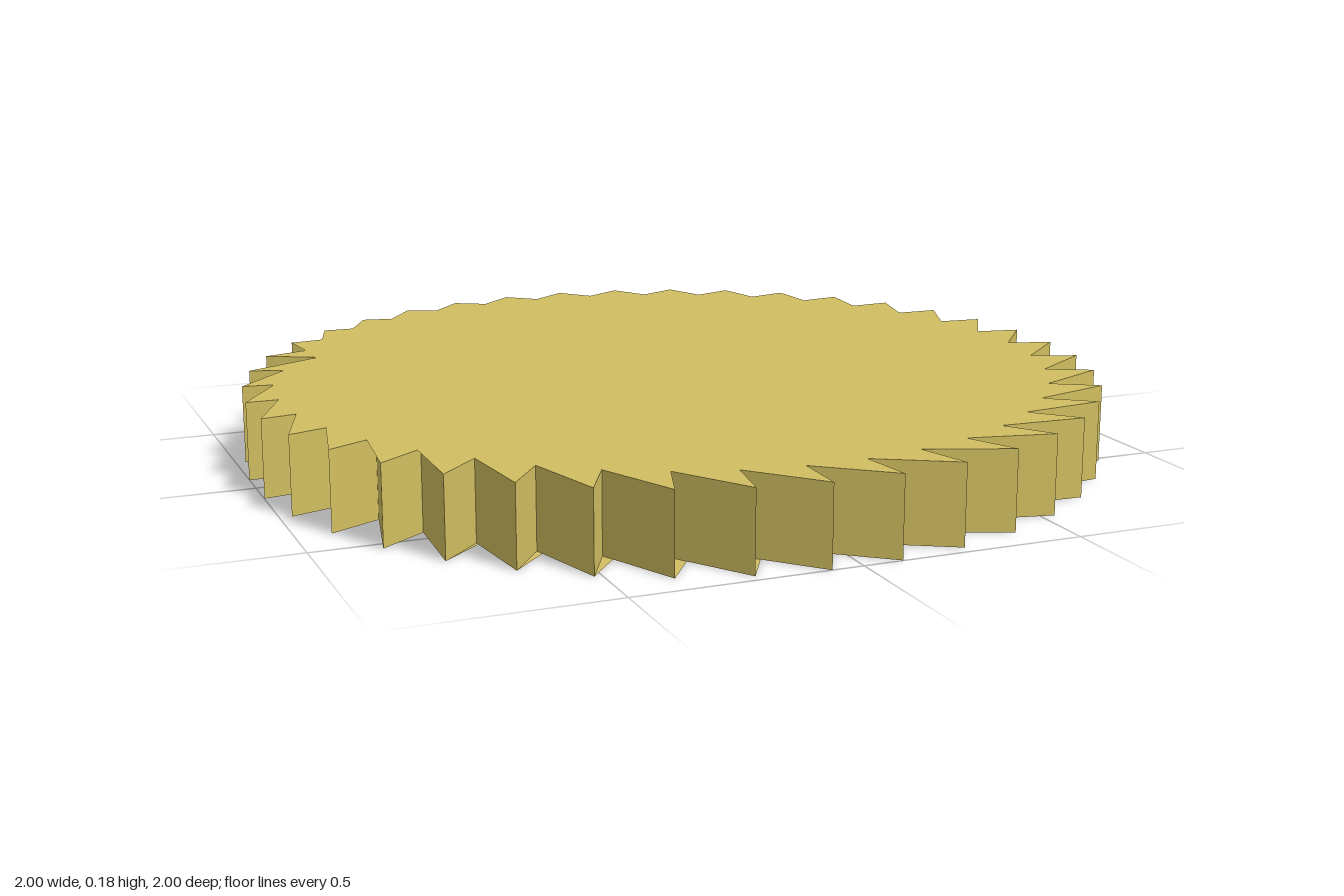
import * as THREE from 'three';

const TEETH = 40, TIP = 1.003, ROOT = 0.875, HEIGHT = 0.18;
const TIP_START = THREE.MathUtils.degToRad(239);
const ROOT_START = THREE.MathUtils.degToRad(238.5);
const BOTTOM_ANCHOR = 56; // outline index of the tooth root that the bottom face fans from

// Ratchet outline, counter-clockwise from above: steep step, then slope out to the next tip
function ratchetOutline() {
  const points = [];
  const pitch = (Math.PI * 2) / TEETH;
  for (let k = 0; k < TEETH; k++) {
    const a = ROOT_START + k * pitch;
    const b = TIP_START + (k + 1) * pitch;
    points.push([Math.sin(a) * ROOT, Math.cos(a) * ROOT]);
    points.push([Math.sin(b) * TIP, Math.cos(b) * TIP]);
  }
  return points;
}

function geometryFrom(positions) {
  const geometry = new THREE.BufferGeometry();
  geometry.setAttribute('position', new THREE.Float32BufferAttribute(positions, 3));
  geometry.computeVertexNormals();
  return geometry;
}

export function createModel() {
  const group = new THREE.Group();
  group.name = 'toothedDisc';
  // Double-sided because the thin faces overhang some of the notches
  const brass = new THREE.MeshStandardMaterial({ color: 0xd1bf61, side: THREE.DoubleSide });
  brass.name = 'dull brass';

  const outline = ratchetOutline();
  const at = (i, y) => {
    const [x, z] = outline[i % outline.length];
    return [x, y, z];
  };
  const top = [], bottom = [], rim = [];

  // Flat faces, each fanned from one tooth root
  for (let i = 1; i < outline.length - 1; i++) {
    const j = BOTTOM_ANCHOR + i;
    top.push(...at(0, HEIGHT), ...at(i, HEIGHT), ...at(i + 1, HEIGHT));
    bottom.push(...at(BOTTOM_ANCHOR, 0), ...at(j + 1, 0), ...at(j, 0));
  }
  // Upright walls of the teeth
  for (let i = 0; i < outline.length; i++) {
    rim.push(...at(i, 0), ...at(i + 1, 0), ...at(i + 1, HEIGHT));
    rim.push(...at(i, 0), ...at(i + 1, HEIGHT), ...at(i, HEIGHT));
  }

  for (const [name, positions] of Object.entries({ topFace: top, bottomFace: bottom, toothedRim: rim })) {
    const mesh = new THREE.Mesh(geometryFrom(positions), brass);
    mesh.name = name;
    group.add(mesh);
  }
  return group;
}
